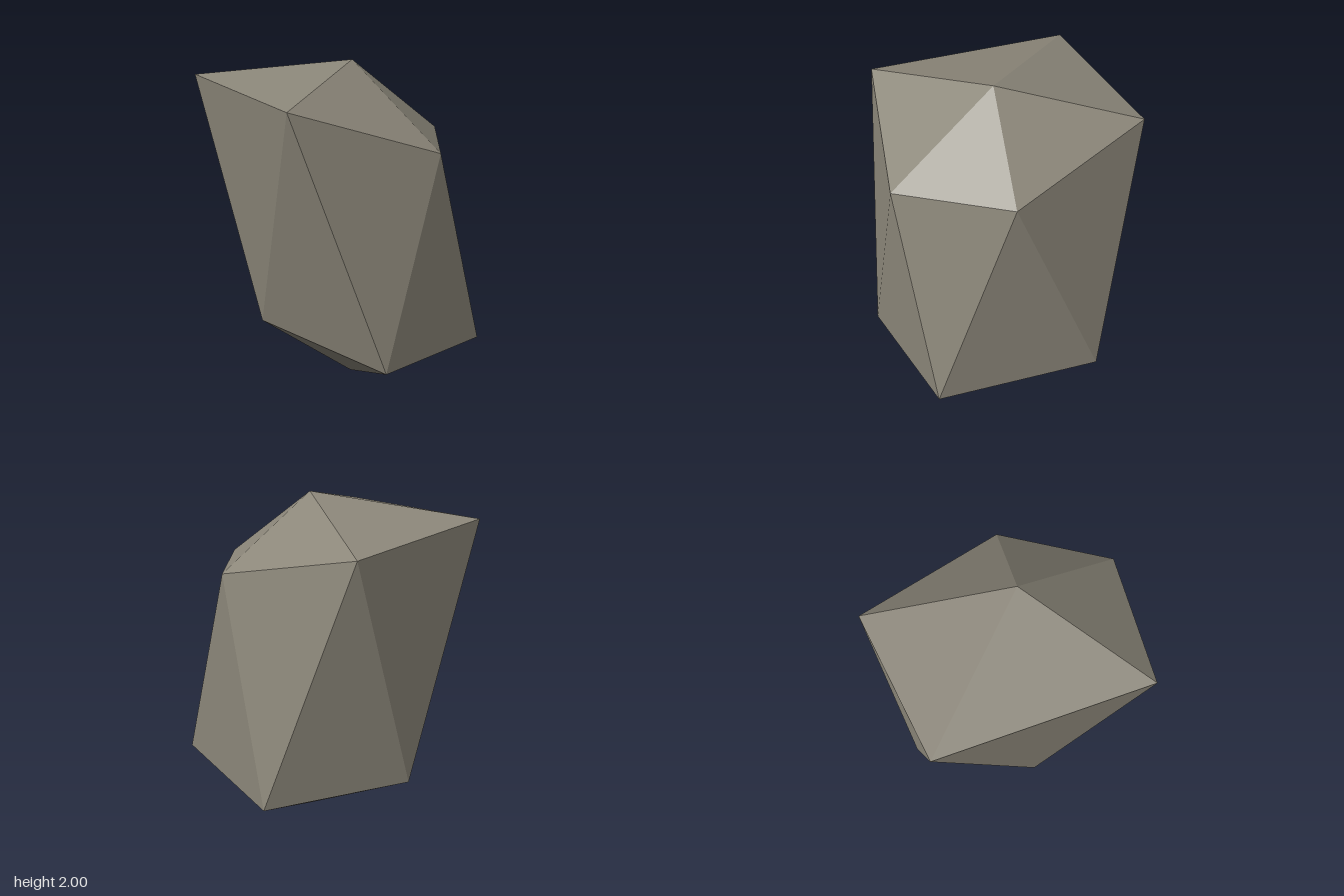
import * as THREE from 'three';

// Faceted boulder: two poles joined by two staggered five-point rings
function buildRockGeometry() {
  const top = [0.08, 2, -0.05];
  const bottom = [0.08, 0, -0.05];
  const upper = [
    [-0.77, 1.87, 0.44],
    [0.40, 1.86, 0.74],
    [0.75, 1.57, -0.05],
    [0.29, 1.56, -0.56],
    [-0.65, 1.75, -0.48],
  ];
  const lower = [
    [-0.14, 0.46, 0.49],
    [0.73, 0.37, 0.33],
    [0.765, 0.335, -0.46],
    [-0.20, 0.30, -0.74],
    [-0.70, 0.40, -0.06],
  ];

  const positions = [];
  const face = (a, b, c) => positions.push(...a, ...b, ...c);
  for (let i = 0; i < 5; i++) {
    const j = (i + 1) % 5;
    face(top, upper[i], upper[j]); // crown
    face(upper[i], lower[i], upper[j]); // sides
    face(lower[i], lower[j], upper[j]);
    face(bottom, lower[j], lower[i]); // underside
  }

  const geometry = new THREE.BufferGeometry();
  geometry.setAttribute('position', new THREE.Float32BufferAttribute(positions, 3));
  geometry.computeVertexNormals(); // unshared corners give flat facets
  return geometry;
}

export function createModel() {
  const stone = new THREE.MeshStandardMaterial({ color: 0x8b8679, flatShading: true });
  stone.name = 'stone grey';

  const rock = new THREE.Mesh(buildRockGeometry(), stone);
  rock.name = 'rock';

  const model = new THREE.Group();
  model.name = 'boulder';
  model.add(rock);
  return model;
}
